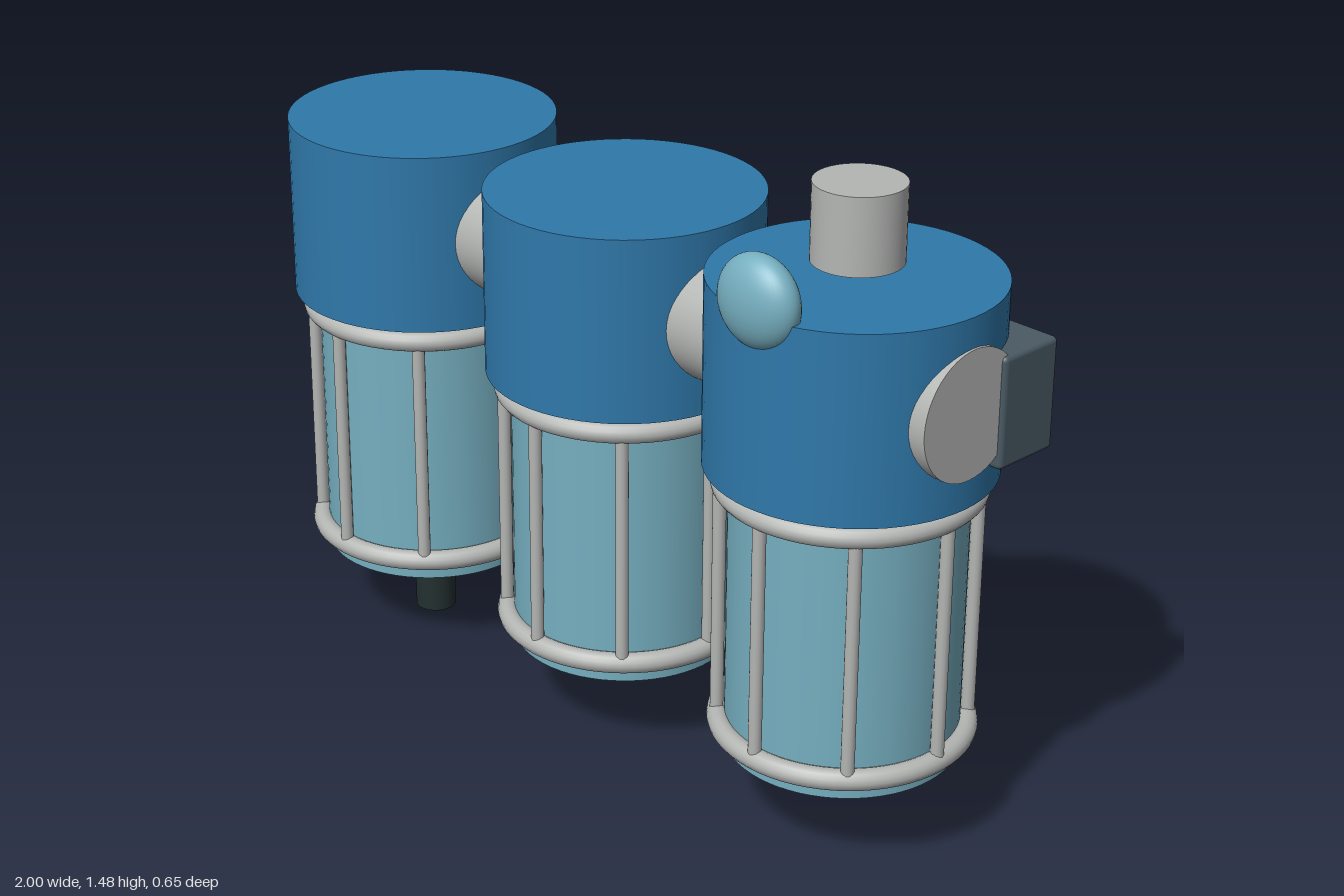
import * as THREE from 'three';
import { RoundedBoxGeometry } from 'three/addons/geometries/RoundedBoxGeometry.js';

const mat = (name, color) => {
  const m = new THREE.MeshStandardMaterial({ color });
  m.name = name;
  return m;
};

export function createModel() {
  const blue = mat('headBlue', 0x2f78aa);
  const teal = mat('bowlTeal', 0x76afc0);
  const metal = mat('lightMetal', 0xb4b6b4);
  const slate = mat('bracketSlate', 0x4a5a64);
  const dark = mat('drainDark', 0x22302f);

  const model = new THREE.Group();
  model.name = 'filterUnit';
  const Z = -0.015; // shared centre line of the three units

  const add = (parent, name, geometry, material, x, y, z) => {
    const mesh = new THREE.Mesh(geometry, material);
    mesh.name = name;
    mesh.position.set(x, y, z);
    parent.add(mesh);
    return mesh;
  };
  // Upright cylinder between two heights
  const column = (parent, name, r, y0, y1, material, x = 0, z = 0, sides = 64) =>
    add(parent, name, new THREE.CylinderGeometry(r, r, y1 - y0, sides), material, x, (y0 + y1) / 2, z);

  // Three identical units: head, bowl and wire guard
  ['right', 'middle', 'left'].forEach((side, i) => {
    const unit = new THREE.Group();
    unit.name = side + 'Unit';
    unit.position.set(-0.679 + i * 0.677, 0, Z);
    model.add(unit);

    column(unit, 'head', 0.31, 0.86, 1.28, blue);
    column(unit, 'bowl', 0.254, 0.2, 0.87, teal);

    for (const y of [0.255, 0.82]) {
      const ring = add(unit, 'guardRing', new THREE.TorusGeometry(0.268, 0.024, 14, 64), metal, 0, y, 0);
      ring.rotation.x = Math.PI / 2;
    }
    for (let k = 0; k < 8; k++) {
      const a = (k * Math.PI) / 4;
      column(unit, 'guardBar', 0.015, 0.255, 0.82, metal, 0.27 * Math.sin(a), 0.27 * Math.cos(a), 12);
    }
  });

  // Pipe running through all heads
  const pipe = add(model, 'throughPipe', new THREE.CylinderGeometry(0.143, 0.143, 1.985, 48), metal, -0.002, 1.07, Z);
  pipe.rotation.z = Math.PI / 2;

  // Mounting rail behind the pipe
  add(model, 'mountingRail', new RoundedBoxGeometry(2, 0.25, 0.166, 3, 0.012), slate, 0, 1.045, -0.183);

  // Top port and gauge on the left unit, drain under the right unit
  column(model, 'topPort', 0.098, 1.31, 1.48, metal, 0.675, Z, 48);
  const gauge = add(model, 'gauge', new THREE.SphereGeometry(1, 40, 28), teal, 0.675, 1.302, 0.27);
  gauge.scale.set(0.102, 0.1, 0.057);
  column(model, 'drain', 0.049, 0, 0.21, dark, -0.679, Z, 32);

  return model;
}
